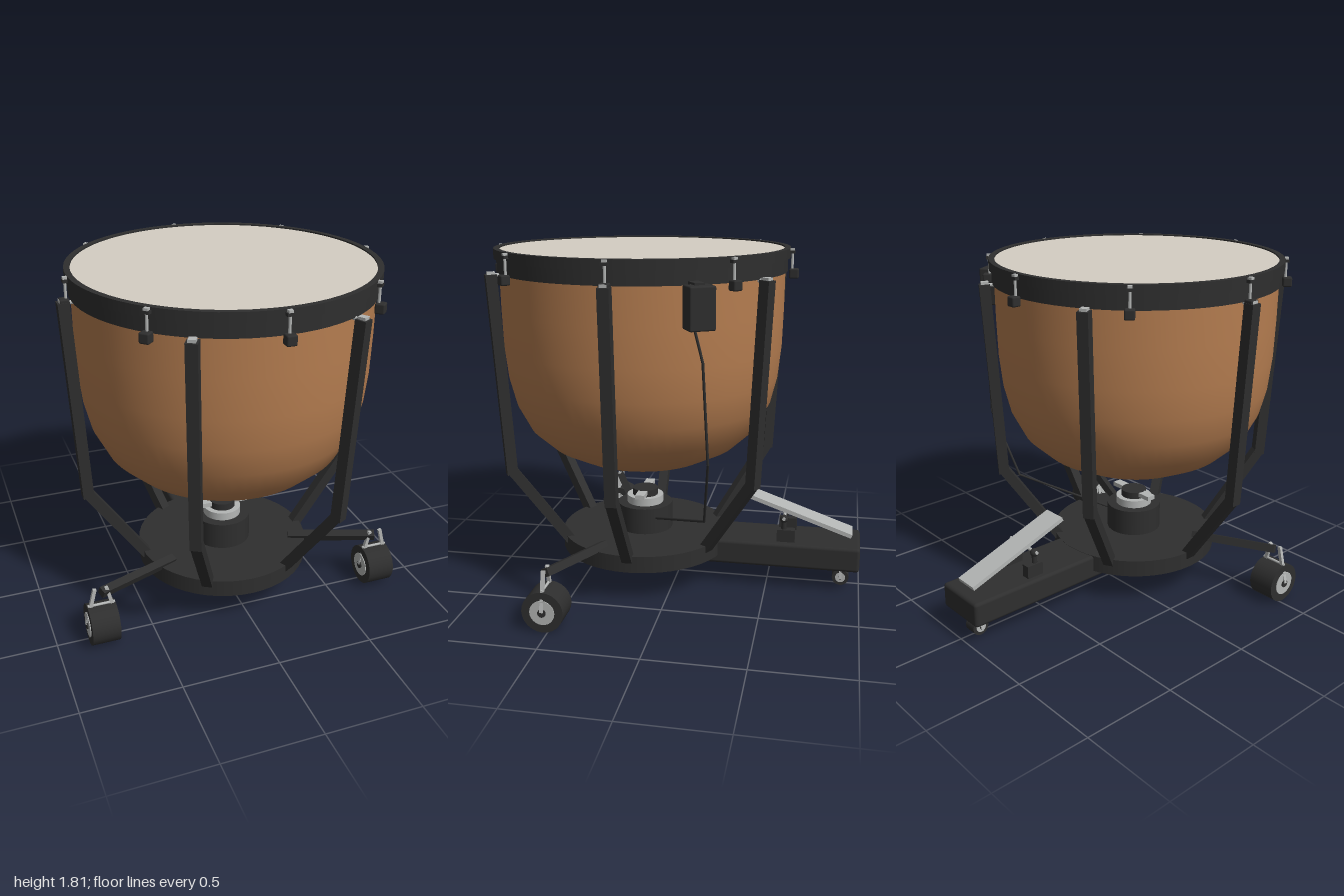
import * as THREE from 'three';
import { RoundedBoxGeometry } from 'three/addons/geometries/RoundedBoxGeometry.js';

const mat = (name, color, side = THREE.FrontSide) => {
  const m = new THREE.MeshStandardMaterial({ color, side });
  m.name = name;
  return m;
};

export function createModel() {
  const black = mat('black metal', 0x2e2e2e);
  const silver = mat('silver metal', 0xb4b6b5);
  const copper = mat('copper', 0xb57d50, THREE.DoubleSide);
  const skin = mat('drum skin', 0xd4cec3);

  const model = new THREE.Group();
  const drum = new THREE.Group();
  drum.name = 'drum';
  drum.position.z = 0.19;
  model.add(drum);

  const add = (parent, name, geo, material, x = 0, y = 0, z = 0) => {
    const m = new THREE.Mesh(geo, material);
    m.name = name;
    m.position.set(x, y, z);
    parent.add(m);
    return m;
  };
  const box = (w, h, d) => new THREE.BoxGeometry(w, h, d);
  const cyl = (r, h, n = 32) => new THREE.CylinderGeometry(r, r, h, n);
  const V = (x, y, z) => new THREE.Vector3(x, y, z);
  // Square or round bar between two points
  const bar = (parent, name, a, b, w, material, round = false) => {
    const len = a.distanceTo(b);
    const m = add(parent, name, round ? cyl(w / 2, len, 12) : box(w, len, w), material);
    m.position.copy(a).add(b).multiplyScalar(0.5);
    m.quaternion.setFromUnitVectors(V(0, 1, 0), b.clone().sub(a).normalize());
    return m;
  };
  // Group whose local +x points outwards from the drum axis
  const spoke = (name, angle) => {
    const g = new THREE.Group();
    g.name = name;
    g.rotation.y = angle;
    drum.add(g);
    return g;
  };
  const lathe = (pts, n = 64) => new THREE.LatheGeometry(pts.map(p => new THREE.Vector2(...p)), n);

  // Bowl with a small vent hole underneath
  add(drum, 'bowl', lathe([[0.07, 0.652], [0.17, 0.654], [0.35, 0.69], [0.5, 0.765], [0.61, 0.865],
    [0.68, 1.0], [0.715, 1.14], [0.732, 1.3], [0.738, 1.5], [0.74, 1.72]]), copper);

  // Hoop: stepped ring made of stacked bands
  const band = (name, r0, r1, y0, y1) =>
    add(drum, name, lathe([[r0, y0], [r1, y0], [r1, y0], [r1, y1], [r1, y1], [r0, y1], [r0, y1], [r0, y0]]), black);
  band('lowerHoop', 0.73, 0.752, 1.69, 1.765);
  band('upperHoop', 0.735, 0.765, 1.76, 1.81);
  add(drum, 'drumHead', cyl(0.737, 0.02, 64), skin, 0, 1.793, 0);

  // Eight tension lugs
  for (let i = 0; i < 8; i++) {
    const g = spoke('tensionLug', i * Math.PI / 4);
    add(g, 'lugBlock', new RoundedBoxGeometry(0.048, 0.05, 0.05, 2, 0.008), black, 0.785, 1.682, 0);
    add(g, 'lugRod', cyl(0.007, 0.1, 10), silver, 0.775, 1.752, 0);
    add(g, 'lugHead', box(0.022, 0.012, 0.022), silver, 0.775, 1.803, 0);
    add(g, 'lugClaw', box(0.035, 0.015, 0.035), black, 0.77, 1.79, 0);
  }

  // Six bent support struts
  for (let i = 0; i < 6; i++) {
    const g = spoke('strut', i * Math.PI / 3);
    bar(g, 'upperStrut', V(0.733, 0.645, 0), V(0.792, 1.69, 0), 0.056, black);
    bar(g, 'lowerStrut', V(0.733, 0.665, 0), V(0.435, 0.24, 0), 0.054, black);
    add(g, 'strutCap', box(0.04, 0.016, 0.036), silver, 0.79, 1.695, 0);
    bar(g, 'strutBolt', V(0.74, 1.685, 0), V(0.8, 1.685, 0), 0.02, silver, true);
  }

  // Base plate and central column
  add(drum, 'basePlate', cyl(0.456, 0.09, 48), black, 0, 0.217, 0);
  add(drum, 'columnHousing', cyl(0.15, 0.15), black, 0, 0.33, 0);
  add(drum, 'columnCollar', cyl(0.1, 0.045), silver, 0, 0.425, 0);
  add(drum, 'columnTop', cyl(0.07, 0.04), black, 0, 0.465, 0);
  add(drum, 'columnCrossbar', box(0.29, 0.024, 0.05), silver, 0, 0.472, 0);

  // Tuning gauge box with hanging cable
  const gauge = spoke('tuningGauge', Math.PI / 6);
  add(gauge, 'gaugeBox', new RoundedBoxGeometry(0.1, 0.2, 0.125, 2, 0.008), black, 0.83, 1.6, 0);
  add(gauge, 'gaugeBracket', box(0.1, 0.02, 0.05), black, 0.785, 1.7, 0);
  const cable = [V(0.755, 1.51, -0.21), V(0.765, 1.36, -0.25), V(0.72, 0.87, -0.27),
    V(0.53, 0.515, -0.225), V(0.13, 0.355, 0.1)];
  for (let i = 1; i < cable.length; i++) {
    bar(model, 'cable', cable[i - 1], cable[i], 0.013, black, true);
    add(model, 'cableBend', new THREE.SphereGeometry(0.0065, 8, 6), black, ...cable[i].toArray());
  }

  // Wheel with its axle along x
  const wheel = (parent, x, y, z, r, w) => {
    const g = new THREE.Group();
    g.name = 'wheel';
    g.position.set(x, y, z);
    g.rotation.z = Math.PI / 2;
    parent.add(g);
    add(g, 'tyre', cyl(r, w, 24), black);
    add(g, 'hub', cyl(r * 0.6, w + 0.008, 24), silver);
    add(g, 'axle', cyl(r * 0.2, w + 0.02, 16), black);
  };

  // Two front casters on outrigger arms
  for (const s of [-1, 1]) {
    const g = new THREE.Group();
    g.name = 'frontCaster';
    model.add(g);
    bar(g, 'casterArm', V(s * 0.33, 0.265, 0.34), V(s * 0.765, 0.283, 0.525), 0.042, black);
    wheel(g, s * 0.768, 0.106, 0.523, 0.106, 0.144);
    for (const k of [-1, 1]) {
      bar(g, 'casterFork', V(s * 0.768 + k * 0.03, 0.31, 0.523), V(s * 0.768 + k * 0.079, 0.11, 0.523), 0.018, silver);
    }
    bar(g, 'casterPin', V(s * 0.768 - 0.07, 0.215, 0.523), V(s * 0.768 + 0.07, 0.215, 0.523), 0.014, silver, true);
  }

  // Rear pedal housing and small caster
  add(model, 'pedalHousing', new RoundedBoxGeometry(0.296, 0.135, 0.89, 2, 0.018), black, 0, 0.193, -0.552);
  wheel(model, 0, 0.045, -0.9, 0.045, 0.07);
  for (const k of [-1, 1]) {
    bar(model, 'rearFork', V(k * 0.03, 0.14, -0.9), V(k * 0.043, 0.04, -0.9), 0.014, silver);
    // Pedal pivot mounts
    add(model, 'pivotBlock', box(0.045, 0.07, 0.095), black, k * 0.09, 0.293, -0.602);
    add(model, 'pivotPost', cyl(0.014, 0.07, 12), black, k * 0.09, 0.35, -0.59);
    add(model, 'pivotKnob', new THREE.SphereGeometry(0.022, 16, 10), black, k * 0.09, 0.385, -0.59);
  }
  bar(model, 'pivotAxle', V(-0.115, 0.39, -0.59), V(0.115, 0.39, -0.59), 0.018, silver, true);

  // Sloping foot pedal
  const pedal = add(model, 'footPedal', box(0.13, 0.022, 0.605), silver, 0, 0.397, -0.665);
  pedal.rotation.x = -Math.atan2(0.2, 0.57);
  return model;
}
